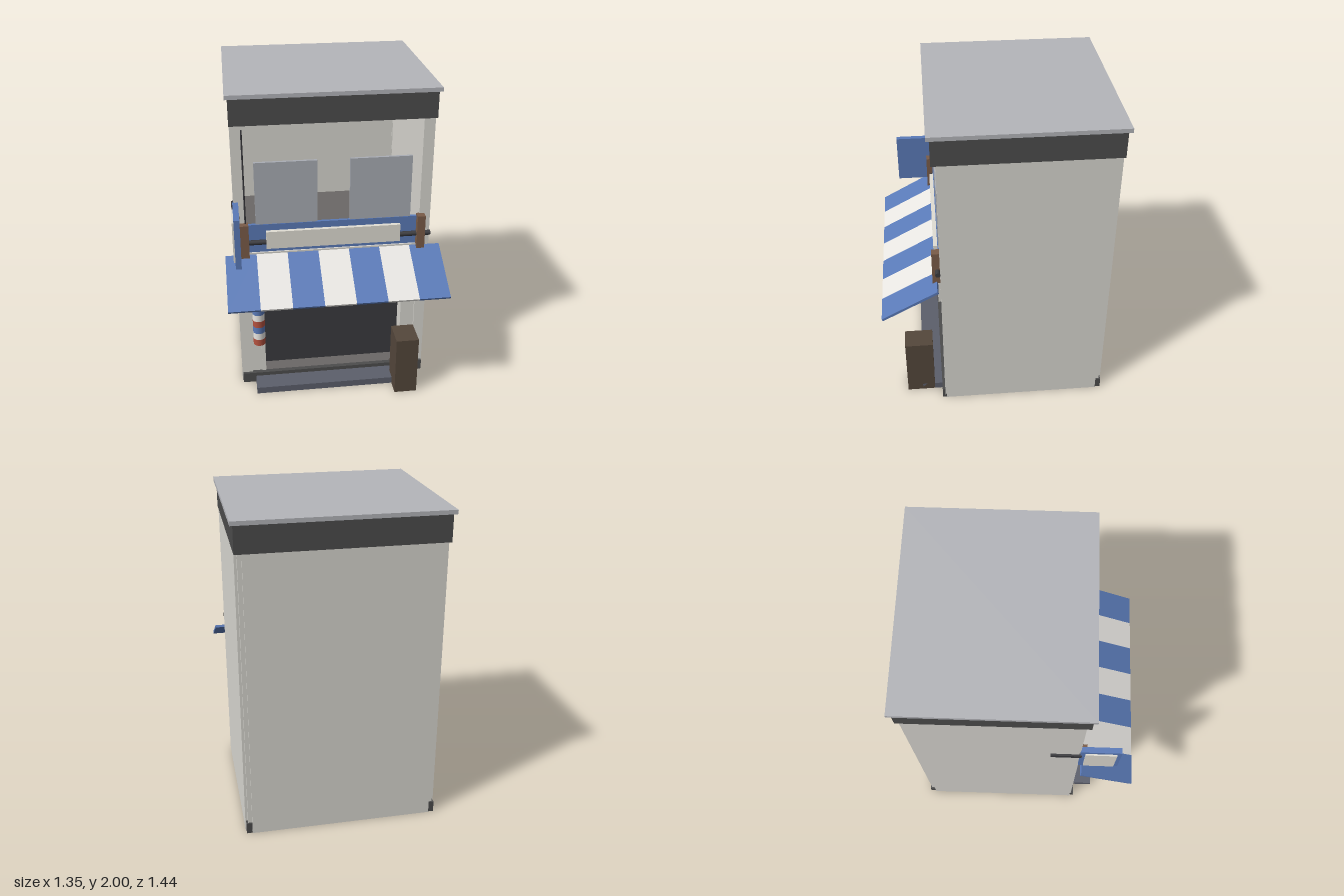
import * as THREE from 'three';

const COLORS = {
  wall: 0xd8d6d0, band: 0x4c4c4c, roof: 0xb4b5ba, blue: 0x5a7ab8, cream: 0xe0ddd3, wood: 0x7a5c48,
  darkWood: 0x54473b, dark: 0x3a3a3e, floor: 0x6b6866, step: 0x5c5f6b, glass: 0xa9adb4,
  red: 0xb5523f, white: 0xe8e6e2, base: 0x333333,
};
const materials = {};
for (const [key, color] of Object.entries(COLORS)) {
  materials[key] = new THREE.MeshStandardMaterial({ color });
}

export function createModel() {
  const model = new THREE.Group();

  const add = (name, geometry, mat, parent = model) => {
    const mesh = new THREE.Mesh(geometry, materials[mat]);
    mesh.name = name;
    parent.add(mesh);
    return mesh;
  };
  // Box from its limits on each axis
  const box = (name, mat, x0, x1, y0, y1, z0, z1, parent) => {
    const mesh = add(name, new THREE.BoxGeometry(x1 - x0, y1 - y0, z1 - z0), mat, parent);
    mesh.position.set((x0 + x1) / 2, (y0 + y1) / 2, (z0 + z1) / 2);
    return mesh;
  };
  // The same box on both sides of the model
  const pair = (name, mat, x0, x1, ...rest) => {
    box(name + 'Left', mat, x0, x1, ...rest);
    box(name + 'Right', mat, -x1, -x0, ...rest);
  };

  // Shell: open front, side walls, back wall, recessed corner posts
  pair('sideWall', 'wall', 0.57, 0.61, 0, 1.81, -0.66, 0.345);
  box('backWall', 'wall', -0.57, 0.57, 0, 1.81, -0.7, -0.66);
  pair('backPost', 'wall', 0.565, 0.595, 0, 1.81, -0.685, -0.655);
  pair('backPostFoot', 'band', 0.57, 0.605, 0, 0.07, -0.695, -0.66);
  pair('frontPost', 'wall', 0.54, 0.605, 0, 1.81, 0.29, 0.353);

  // Floors, plinth and front step
  box('groundFloor', 'base', -0.57, 0.57, 0.004, 0.05, -0.66, 0.34);
  box('floorBoards', 'floor', -0.57, 0.57, 0.05, 0.07, -0.66, 0.34);
  box('plinth', 'band', -0.605, 0.605, 0, 0.07, 0.335, 0.37);
  box('step', 'step', -0.52, 0.52, 0, 0.045, 0.37, 0.5);
  box('upperFloor', 'floor', -0.57, 0.57, 0.85, 0.9, -0.66, 0.34);

  // Roof
  box('roofBand', 'band', -0.613, 0.613, 1.81, 1.977, -0.7, 0.38);
  box('roofSlab', 'roof', -0.63, 0.63, 1.975, 2, -0.72, 0.4);

  // Shop front: side panels, jambs, lintel, dark screen with three notices
  pair('frontPanel', 'wall', 0.47, 0.555, 0.07, 0.95, 0.3, 0.34);
  pair('jamb', 'wall', 0.45, 0.475, 0.07, 0.85, 0.25, 0.345);
  box('lintel', 'wall', -0.57, 0.57, 0.81, 0.98, 0.3, 0.37);
  box('lintelRail', 'step', -0.52, 0.52, 0.84, 0.95, 0.37, 0.392);
  box('screen', 'dark', -0.45, 0.45, 0.07, 0.85, 0.22, 0.25);
  for (const x of [-0.182, -0.002, 0.18]) {
    box('notice', 'cream', x - 0.074, x + 0.074, 0.535, 0.73, 0.25, 0.253);
  }

  // Upper storey: window panels, unit behind them, drain pipe
  pair('windowPanel', 'glass', 0.1, 0.48, 0.98, 1.57, 0.338, 0.356);
  box('wallUnit', 'roof', 0.28, 0.485, 1.36, 1.5, 0.19, 0.31);
  const pipe = add('drainPipe', new THREE.CylinderGeometry(0.005, 0.005, 0.61, 8), 'dark');
  pipe.position.set(-0.543, 1.475, 0.358);

  // Shop sign between wooden posts, with a rod
  box('signBoard', 'blue', -0.53, 0.53, 0.96, 1.167, 0.34, 0.36);
  box('signPlate', 'cream', -0.42, 0.415, 1.01, 1.125, 0.36, 0.385);
  box('signPostRight', 'wood', -0.58, -0.526, 0.96, 1.18, 0.345, 0.4);
  box('signPostLeft', 'wood', 0.52, 0.57, 0.96, 1.18, 0.345, 0.4);
  const rod = add('signRod', new THREE.CylinderGeometry(0.016, 0.016, 1.19, 12), 'dark');
  rod.rotation.z = Math.PI / 2;
  rod.position.set(0.015, 1.05, 0.367);

  // Striped sloping awning
  const awning = new THREE.Group();
  awning.name = 'awning';
  const slopeLength = Math.hypot(0.345, 0.19);
  const stripe = 1.345 / 7;
  for (let i = 0; i < 7; i++) {
    const x0 = -0.675 + i * stripe;
    box('awningStripe', i % 2 ? 'white' : 'blue', x0, x0 + stripe,
      -0.008, 0.008, -slopeLength / 2, slopeLength / 2, awning);
  }
  awning.position.set(0, 0.87, 0.543);
  awning.rotation.x = Math.atan2(0.19, 0.345);
  model.add(awning);

  // Projecting side sign and its bracket
  box('sideSign', 'blue', -0.615, -0.58, 1, 1.32, 0.35, 0.6);
  box('sideSignPlate', 'cream', -0.625, -0.615, 1.03, 1.29, 0.38, 0.572);
  box('sideSignBracket', 'dark', -0.622, -0.577, 1.21, 1.25, 0.17, 0.36);

  // Striped pole
  const bands = ['red', 'white', 'blue', 'red', 'white', 'blue', 'red', 'white'];
  bands.forEach((mat, i) => {
    const radius = i === 7 ? 0.034 : 0.038;
    const band = add('poleBand', new THREE.CylinderGeometry(radius, radius, 0.045, 20), mat);
    band.position.set(-0.49, 0.393 + i * 0.045, 0.455);
  });

  // Wooden stand by the entrance
  box('stand', 'darkWood', 0.375, 0.52, 0, 0.4, 0.42, 0.6);

  return model;
}
